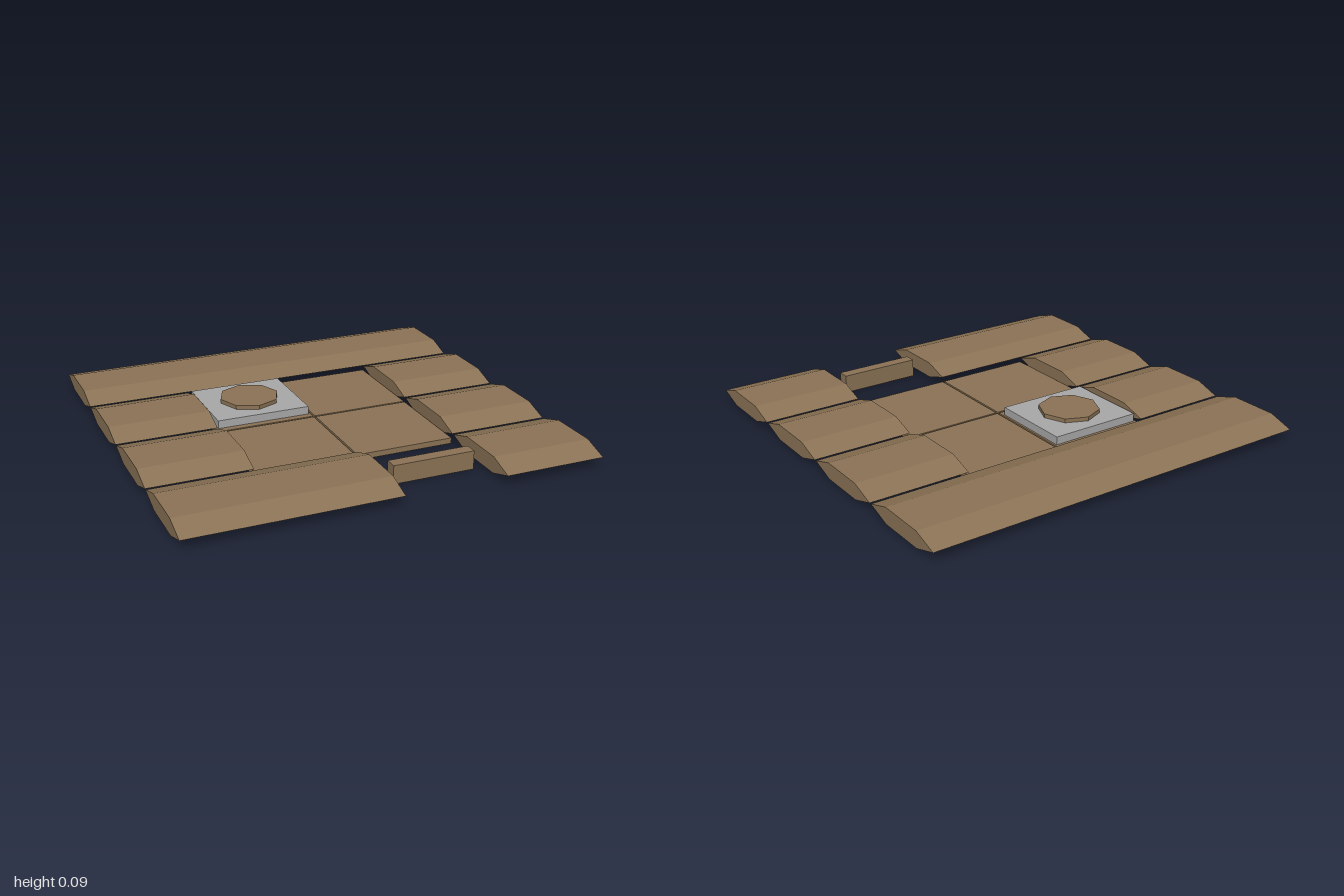
import * as THREE from 'three';

export function createModel() {
  const model = new THREE.Group();
  model.name = 'cabinFloorLayout';
  const wood = new THREE.MeshStandardMaterial({ color: 0x8b7355 });
  wood.name = 'wood';
  const stone = new THREE.MeshStandardMaterial({ color: 0xa9a9a9 });
  stone.name = 'stone';

  function add(name, geometry, material, x, y, z) {
    const mesh = new THREE.Mesh(geometry, material);
    mesh.name = name;
    mesh.position.set(x, y, z);
    model.add(mesh);
  }

  // Flattened hexagonal cross-section shared by the wall logs
  const section = new THREE.Shape([
    [-0.245, 0], [-0.12, -0.04], [0.12, -0.04],
    [0.245, 0], [0.12, 0.04], [-0.12, 0.04],
  ].map(([x, y]) => new THREE.Vector2(x, y)));

  function addLog(x0, x1, z) {
    const geometry = new THREE.ExtrudeGeometry(section, { depth: x1 - x0, bevelEnabled: false });
    geometry.rotateY(Math.PI / 2);
    add('wallLog', geometry, wood, x0, 0.051, z);
  }

  // Back wall, side walls, and front wall with a doorway
  addLog(-1, 1, -0.75);
  for (const z of [-0.25, 0.25]) {
    addLog(-1, -0.5, z);
    addLog(0.5, 1, z);
  }
  addLog(-1, 0, 0.75);
  addLog(0.5, 1, 0.75);

  // Four floor tiles
  for (const x of [-0.25, 0.25]) {
    for (const z of [-0.25, 0.25]) {
      add('floorTile', new THREE.BoxGeometry(0.49, 0.028, 0.49), wood, x, 0.017, z);
    }
  }

  // Stone plinth with an octagonal wooden top
  add('plinth', new THREE.BoxGeometry(0.47, 0.071, 0.42), stone, -0.25, 0.0355, -0.25);
  const top = new THREE.CylinderGeometry(0.15, 0.15, 0.03, 8).toNonIndexed();
  top.computeVertexNormals();
  add('plinthTop', top, wood, -0.25, 0.076, -0.25);

  // Door in the front gap
  add('door', new THREE.BoxGeometry(0.405, 0.091, 0.06), wood, 0.25, 0.0455, 0.75);

  return model;
}
